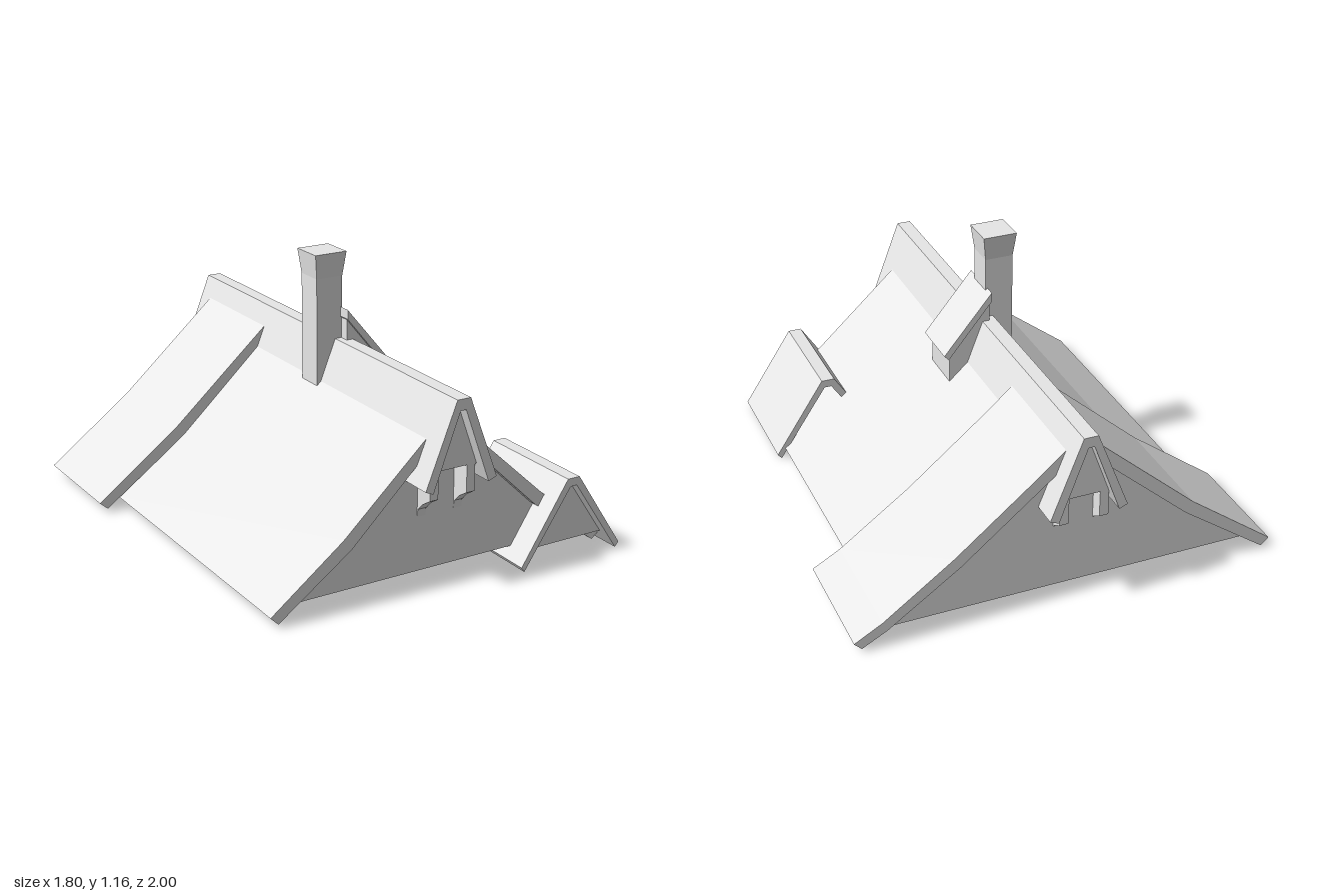
import * as THREE from 'three';

export function createModel() {
  const model = new THREE.Group();
  const plaster = new THREE.MeshStandardMaterial({ color: 0xe7e7e7 });
  plaster.name = 'light grey';

  const add = (name, geometry) => {
    const mesh = new THREE.Mesh(geometry, plaster);
    mesh.name = name;
    model.add(mesh);
    return mesh;
  };
  const shapeOf = pts => new THREE.Shape(pts.map(p => new THREE.Vector2(...p)));

  // Cross-section in x and y, running along z from z0 to z1
  const prism = (name, pts, z0, z1) => {
    const g = new THREE.ExtrudeGeometry(shapeOf(pts), { depth: z1 - z0, bevelEnabled: false });
    return add(name, g.translate(0, 0, z0));
  };
  // Side profile in z and y, running along x from x0 to x1
  const sidePrism = (name, pts, x0, x1) => {
    const g = new THREE.ExtrudeGeometry(shapeOf(pts), { depth: x1 - x0, bevelEnabled: false });
    return add(name, g.rotateY(-Math.PI / 2).translate(x1, 0, 0));
  };

  // Lower roof slopes
  prism('rightRoofSlope', [
    [-0.11, 0.637], [-0.49, 0.287], [-0.803, 0.05], [-0.77, 0.017], [-0.455, 0.242], [-0.12, 0.565],
  ], -0.43, 0.9);
  prism('leftRoofSlope', [
    [0.045, 0.635], [0.43, 0.282], [0.738, 0.047], [0.70, 0.017], [0.40, 0.237], [0.055, 0.565],
  ], -0.43, 0.9);

  // Wider raised slopes at the back
  prism('rightBackRoofSlope', [
    [-0.085, 0.715], [-0.53, 0.322], [-0.9, 0.047], [-0.865, 0.016], [-0.5, 0.277], [-0.1, 0.63],
  ], -0.92, -0.41);
  prism('leftBackRoofSlope', [
    [0.02, 0.715], [0.15, 0.602], [0.485, 0.327], [0.78, 0.112], [0.896, 0.047], [0.865, 0.016],
    [0.76, 0.072], [0.46, 0.282], [0.035, 0.63],
  ], -0.92, -0.41);

  // Ridge cap, an upturned V with a flat top
  prism('ridgeCap', [
    [-0.06, 0.792], [-0.195, 0.452], [-0.16, 0.437], [-0.045, 0.747], [-0.02, 0.747],
    [0.093, 0.437], [0.13, 0.452], [0, 0.792],
  ], -1, 1);

  // Thin gable walls: front, back and the step between the two roof widths
  prism('frontGable', [
    [-0.765, 0.065], [-0.47, 0.268], [-0.12, 0.6], [-0.03, 0.7], [0.06, 0.6], [0.41, 0.262], [0.69, 0.065],
  ], 0.863, 0.865);
  for (const [name, z] of [['backGable', -0.89], ['innerGable', -0.432]]) {
    prism(name, [
      [-0.82, 0.065], [-0.51, 0.285], [-0.1, 0.65], [-0.03, 0.72], [0.04, 0.65], [0.47, 0.285], [0.77, 0.072], [0.76, 0.065],
    ], z, z + 0.002);
  }

  // Ridge beam inside the cap, with a pair of brackets under each end
  prism('ridgeBeam', [[-0.14, 0.5], [0.075, 0.5], [-0.02, 0.752], [-0.045, 0.752]], -0.95, 0.95);
  const bracket = [[0.864, 0.285], [0.87, 0.325], [0.9, 0.355], [0.948, 0.385], [0.948, 0.51], [0.864, 0.51]];
  for (const [end, s] of [['front', 1], ['back', -1]]) {
    for (const x of [-0.14, 0.028]) {
      sidePrism(end + 'Bracket', bracket.map(([z, y]) => [z * s, y]), x, x + 0.038);
    }
  }

  // Square chimney with a flared top
  const chimney = (name, bottom, top, y0, y1) => {
    const r = Math.SQRT1_2;
    const g = new THREE.CylinderGeometry(top * r, bottom * r, y1 - y0, 4).toNonIndexed();
    g.rotateY(Math.PI / 4).computeVertexNormals();
    add(name, g.translate(-0.087, (y0 + y1) / 2, 0.07));
  };
  chimney('chimneyStack', 0.12, 0.12, 0.53, 1.055);
  chimney('chimneyTop', 0.12, 0.145, 1.055, 1.158);

  // Lean-to dormer beside the chimney
  prism('dormerBox', [[-0.03, 0.532], [0.15, 0.532], [0.15, 0.665], [-0.03, 0.89]], -0.024, 0.172);
  prism('dormerRoof', [[-0.035, 0.885], [0.157, 0.65], [0.177, 0.67], [-0.035, 0.925]], -0.038, 0.187);

  // Small pitched porch roof with its gable wall
  prism('porchRoof', [
    [0.497, 0.352], [0.283, 0.02], [0.297, 0], [0.512, 0.318], [0.542, 0.318],
    [0.757, 0], [0.774, 0.02], [0.554, 0.352],
  ], 0.485, 0.98);
  prism('porchGable', [[0.338, 0.065], [0.716, 0.065], [0.542, 0.32], [0.512, 0.32]], 0.93, 0.932);

  return model;
}
